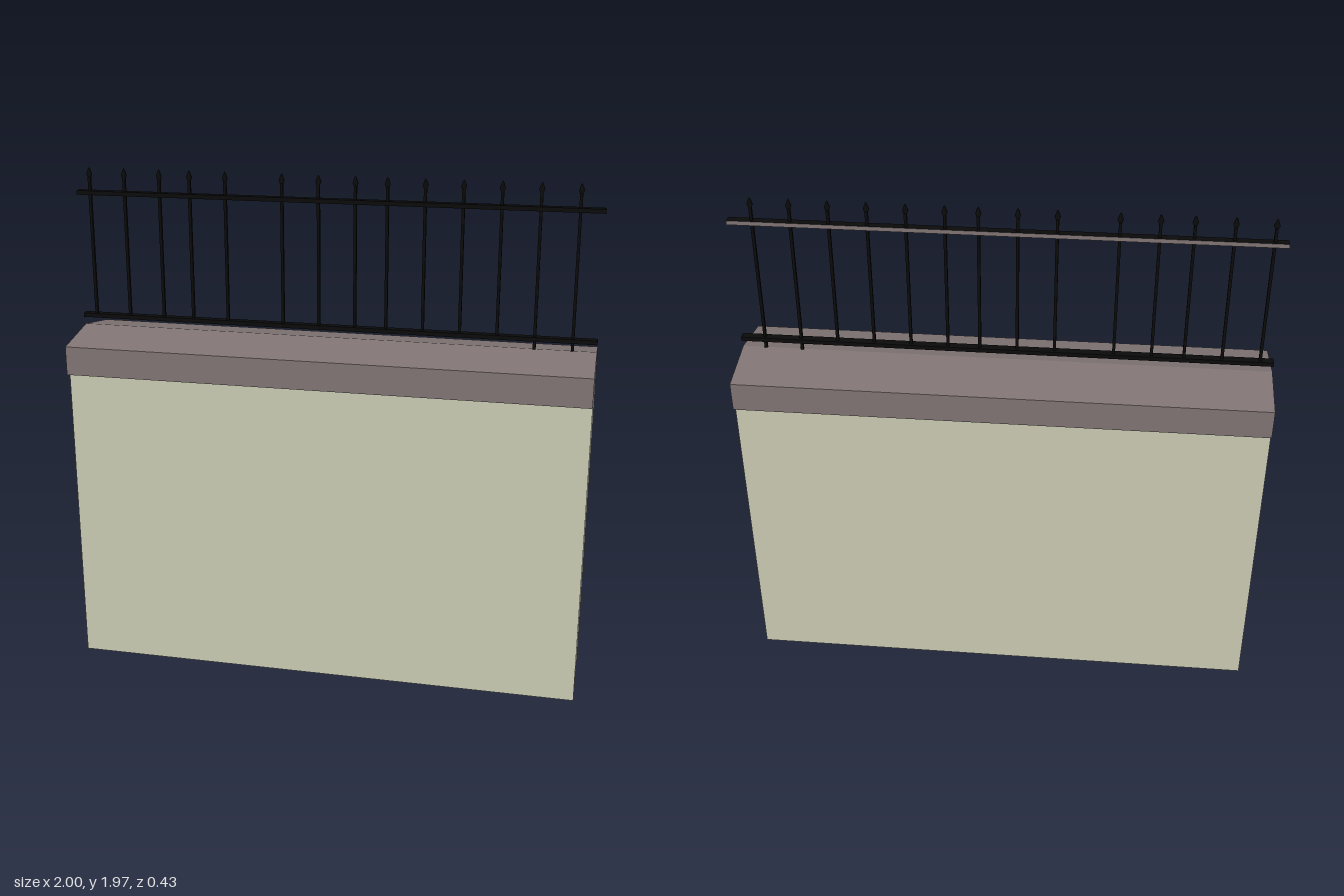
import * as THREE from 'three';

export function createModel() {
  const plaster = new THREE.MeshStandardMaterial({ color: 0xc8c9b2 });
  const stone = new THREE.MeshStandardMaterial({ color: 0x7f7373 });
  const iron = new THREE.MeshStandardMaterial({ color: 0x0a0a0a });
  plaster.name = 'plaster';
  stone.name = 'stone';
  iron.name = 'iron';

  const model = new THREE.Group();
  model.name = 'wallWithRailing';

  function add(name, geometry, material, x, y, z, parent = model) {
    const mesh = new THREE.Mesh(geometry, material);
    mesh.name = name;
    mesh.position.set(x, y, z);
    parent.add(mesh);
    return mesh;
  }

  // Wall body
  add('wall', new THREE.BoxGeometry(2, 1.2, 0.38), plaster, 0, 0.6, 0);

  // Gabled coping, extruded along x
  const gable = new THREE.Shape([
    [-0.217, 1.2], [0.217, 1.2], [0.217, 1.312], [0, 1.35], [-0.217, 1.312],
  ].map(([x, y]) => new THREE.Vector2(x, y)));
  const gableAlongX = (length) =>
    new THREE.ExtrudeGeometry(gable, { depth: length, bevelEnabled: false }).rotateY(Math.PI / 2);
  add('coping', gableAlongX(1.998), stone, -0.998, 0, 0);
  add('copingEndFace', gableAlongX(0.002), [plaster, stone], -1, 0, 0);

  // Horizontal rails; the back of the upper one is stone coloured
  const railing = new THREE.Group();
  railing.name = 'railing';
  model.add(railing);
  const rail = new THREE.BoxGeometry(2, 0.016, 0.032);
  add('lowerRail', rail, iron, 0, 1.389, 0, railing);
  add('upperRail', rail, [iron, iron, iron, iron, iron, stone], 0, 1.872, 0, railing);

  // Flat leaf-shaped spear head
  const leaf = new THREE.Shape([
    [-0.005, 0], [0.005, 0], [0.011, 0.014], [0.004, 0.034], [0, 0.04], [-0.004, 0.034], [-0.011, 0.014],
  ].map(([x, y]) => new THREE.Vector2(x, y)));
  const head = new THREE.ExtrudeGeometry(leaf, { depth: 0.005, bevelEnabled: false });

  // Upright bars; the last two reach down to the coping
  const positions = [-0.95, -0.81, -0.67, -0.55, -0.41, -0.19, -0.05,
    0.09, 0.21, 0.35, 0.49, 0.63, 0.77, 0.91];
  const top = 1.93;
  for (const x of positions) {
    const bottom = x > 0.7 ? 1.345 : 1.385;
    add('bar', new THREE.BoxGeometry(0.011, top - bottom, 0.011), iron, x, (top + bottom) / 2, 0, railing);
    add('spearHead', head, iron, x, 1.927, -0.0025, railing);
  }
  return model;
}
